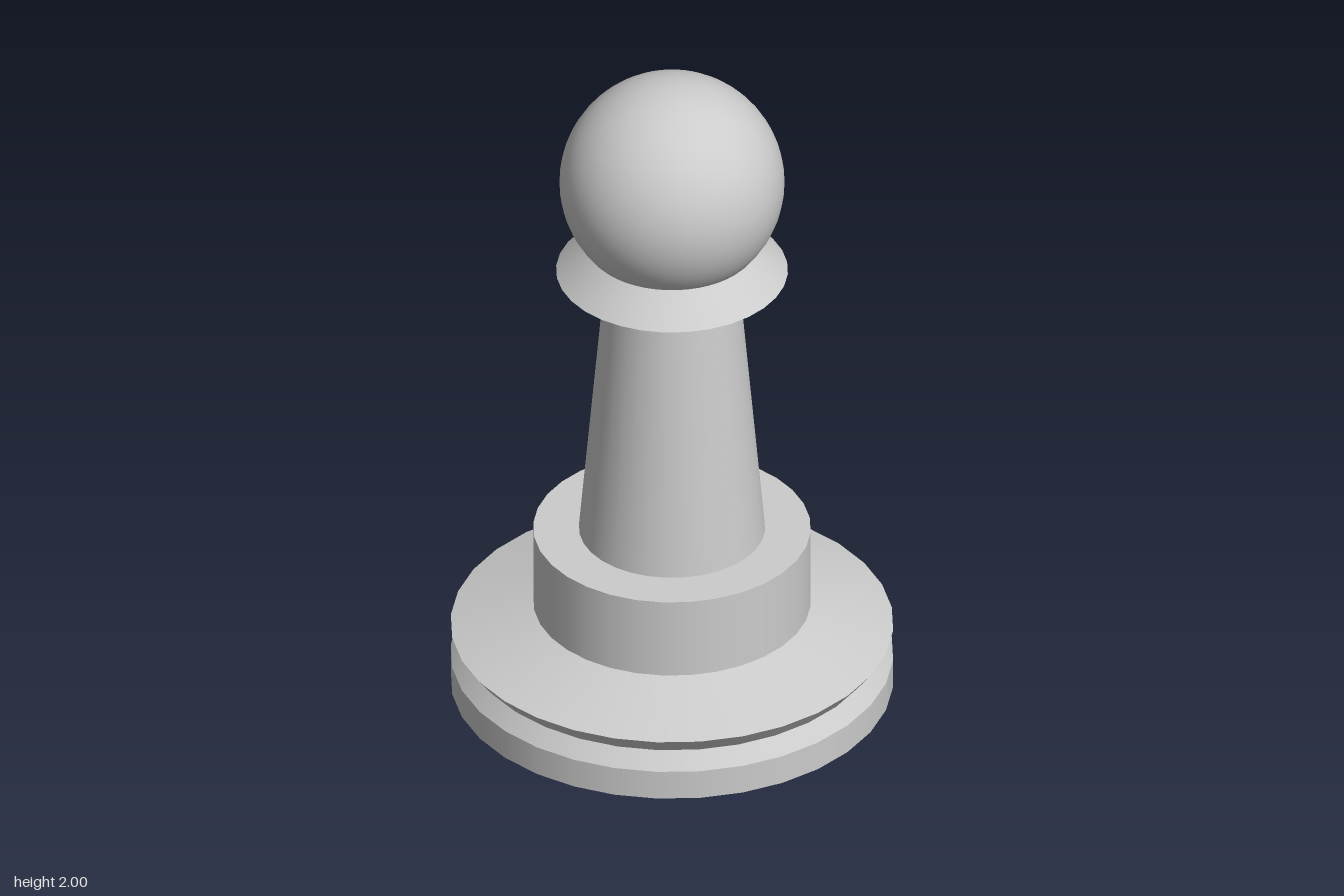
import * as THREE from 'three';
import { mergeGeometries } from 'three/addons/utils/BufferGeometryUtils.js';

const SIDES = 32;

// Turned part: smooth around the axis, a sharp edge at every profile point
function turned(name, profile, material) {
  const bands = profile.slice(1).map((p, i) =>
    new THREE.LatheGeometry([new THREE.Vector2(...profile[i]), new THREE.Vector2(...p)], SIDES));
  const mesh = new THREE.Mesh(mergeGeometries(bands), material);
  mesh.name = name;
  return mesh;
}

export function createModel() {
  const group = new THREE.Group();
  group.name = 'pawn';
  const material = new THREE.MeshStandardMaterial({ color: 0xcccccc });

  // Profiles are [radius, height], from the bottom up
  group.add(
    // Foot disc, groove, flared rim and sloping shoulder
    turned('base', [[0, 0], [0.63, 0], [0.63, 0.09], [0.59, 0.138], [0.63, 0.19], [0.395, 0.265]], material),
    // Straight drum with a flat top ledge
    turned('pedestal', [[0.395, 0.265], [0.395, 0.512], [0.265, 0.512]], material),
    // Tapering shaft
    turned('stem', [[0.265, 0.512], [0.193, 1.325]], material),
    // Double-cone collar under the head
    turned('collar', [[0.193, 1.325], [0.205, 1.325], [0.33, 1.383], [0.24, 1.468], [0.2, 1.468]], material)
  );

  // Ball head
  const head = new THREE.Mesh(new THREE.SphereGeometry(0.32, 48, 32), material);
  head.name = 'head';
  head.position.y = 1.68;
  group.add(head);

  return group;
}
